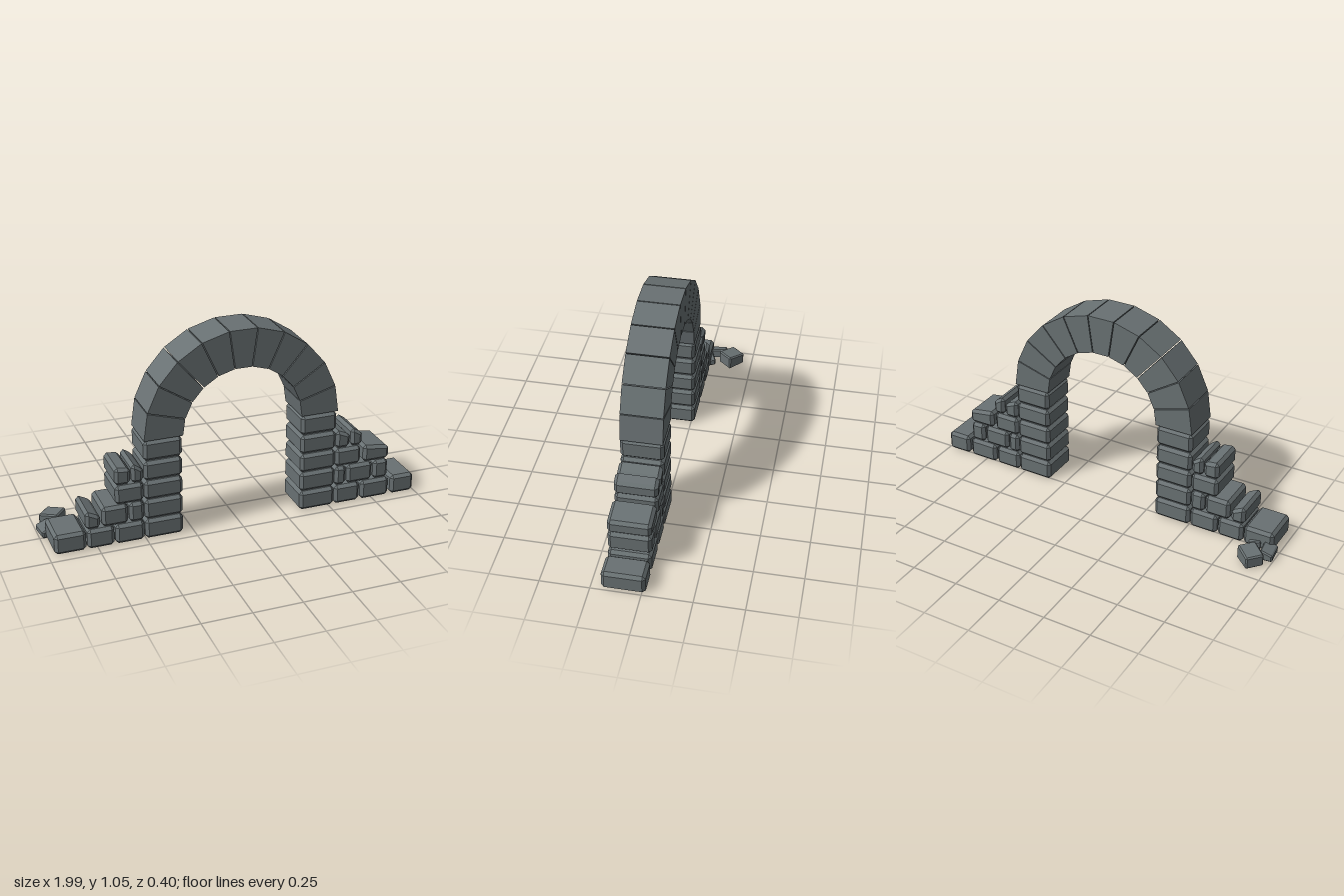
import * as THREE from 'three';
import { ConvexGeometry } from 'three/addons/geometries/ConvexGeometry.js';

const stone = new THREE.MeshStandardMaterial({ color: 0x697173 });
stone.name = 'grey stone';

// Chamfered block standing on y = 0; the top may slope from hl (at -x) to hr (at +x)
function blockGeometry(w, d, hl, hr = hl, c = 0.016) {
  const pts = [];
  for (const sx of [-1, 1]) for (const sz of [-1, 1]) for (const top of [0, 1]) {
    const x = sx * w / 2, z = sz * d / 2;
    const y = top ? (sx < 0 ? hl : hr) : 0;
    const yi = top ? y - c : c;
    pts.push(
      new THREE.Vector3(x, yi, z - sz * c),
      new THREE.Vector3(x - sx * c, y, z - sz * c),
      new THREE.Vector3(x - sx * c, yi, z));
  }
  return new ConvexGeometry(pts);
}

function addMesh(parent, name, geometry) {
  const mesh = new THREE.Mesh(geometry, stone);
  mesh.name = name;
  parent.add(mesh);
  return mesh;
}

// Courses of the walls: bottom and top of each row
const rows = [[0, 0.105], [0.109, 0.214], [0.218, 0.318], [0.323, 0.425], [0.43, 0.536]];

// Wall blocks: row, x start, x end, optional top height at left and right
const rightWall = [
  [0, -0.968, -0.807], [0, -0.801, -0.663], [0, -0.657, -0.507],
  [1, -0.808, -0.733, 0.202, 0.18], [1, -0.724, -0.589], [1, -0.583, -0.507],
  [2, -0.653, -0.507],
  [3, -0.653, -0.573, 0.416, 0.41], [3, -0.568, -0.507, 0.42, 0.4],
];
const leftWall = [
  [0, 0.532, 0.676], [0, 0.684, 0.848], [0, 0.861, 0.995],
  [1, 0.532, 0.595], [1, 0.6, 0.746], [1, 0.754, 0.838],
  [2, 0.532, 0.676], [2, 0.692, 0.84, 0.312, 0.294],
  [3, 0.532, 0.61, 0.42, 0.4], [3, 0.616, 0.681, 0.42, 0.4],
];
for (let r = 0; r < rows.length; r++) {
  rightWall.push([r, -0.503, -0.304]);
  leftWall.push([r, 0.334, 0.53]);
}

function buildWall(name, blocks) {
  const wall = new THREE.Group();
  wall.name = name;
  for (const [r, x0, x1, tl, tr] of blocks) {
    const [y0, y1] = rows[r];
    const geo = blockGeometry(x1 - x0, 0.217, (tl ?? y1) - y0, (tr ?? y1) - y0);
    addMesh(wall, 'wallBlock', geo).position.set((x0 + x1) / 2, y0, 0.0895);
  }
  return wall;
}

// Semicircle of plain wedge stones with hairline joints
function buildArch() {
  const arch = new THREE.Group();
  arch.name = 'arch';
  arch.position.set(0.016, 0.538, -0.016);
  const count = 11, inner = 0.317, outer = 0.517, gap = 0.0025;
  const half = Math.PI / count / 2;
  for (let i = 0; i < count; i++) {
    const wi = inner * Math.sin(half) - gap, wo = outer * Math.sin(half) - gap;
    const yi = inner * Math.cos(half), yo = outer * Math.cos(half);
    const shape = new THREE.Shape([
      new THREE.Vector2(-wi, yi), new THREE.Vector2(wi, yi),
      new THREE.Vector2(wo, yo), new THREE.Vector2(-wo, yo)]);
    const geo = new THREE.ExtrudeGeometry(shape, { depth: 0.212, bevelEnabled: false });
    addMesh(arch, 'archStone', geo).rotation.z = (i - (count - 1) / 2) * 2 * half;
  }
  return arch;
}

// Fallen stones behind the wall end: x, z, width, depth, heights, turn
function buildRubble() {
  const rubble = new THREE.Group();
  rubble.name = 'rubble';
  const stones = [
    [-0.901, -0.134, 0.108, 0.096, 0.065, 0.077, -0.72],
    [-0.96, -0.044, 0.066, 0.106, 0.038, 0.056, 0.12],
    [-0.872, -0.012, 0.06, 0.05, 0.052, 0.042, 0.45],
  ];
  for (const [x, z, w, d, hl, hr, turn] of stones) {
    const mesh = addMesh(rubble, 'fallenStone', blockGeometry(w, d, hl, hr, 0.007));
    mesh.position.set(x, 0, z);
    mesh.rotation.y = turn;
  }
  return rubble;
}

export function createModel() {
  const model = new THREE.Group();
  model.name = 'ruinedArch';
  model.add(buildWall('rightWall', rightWall), buildWall('leftWall', leftWall), buildArch(), buildRubble());
  return model;
}
